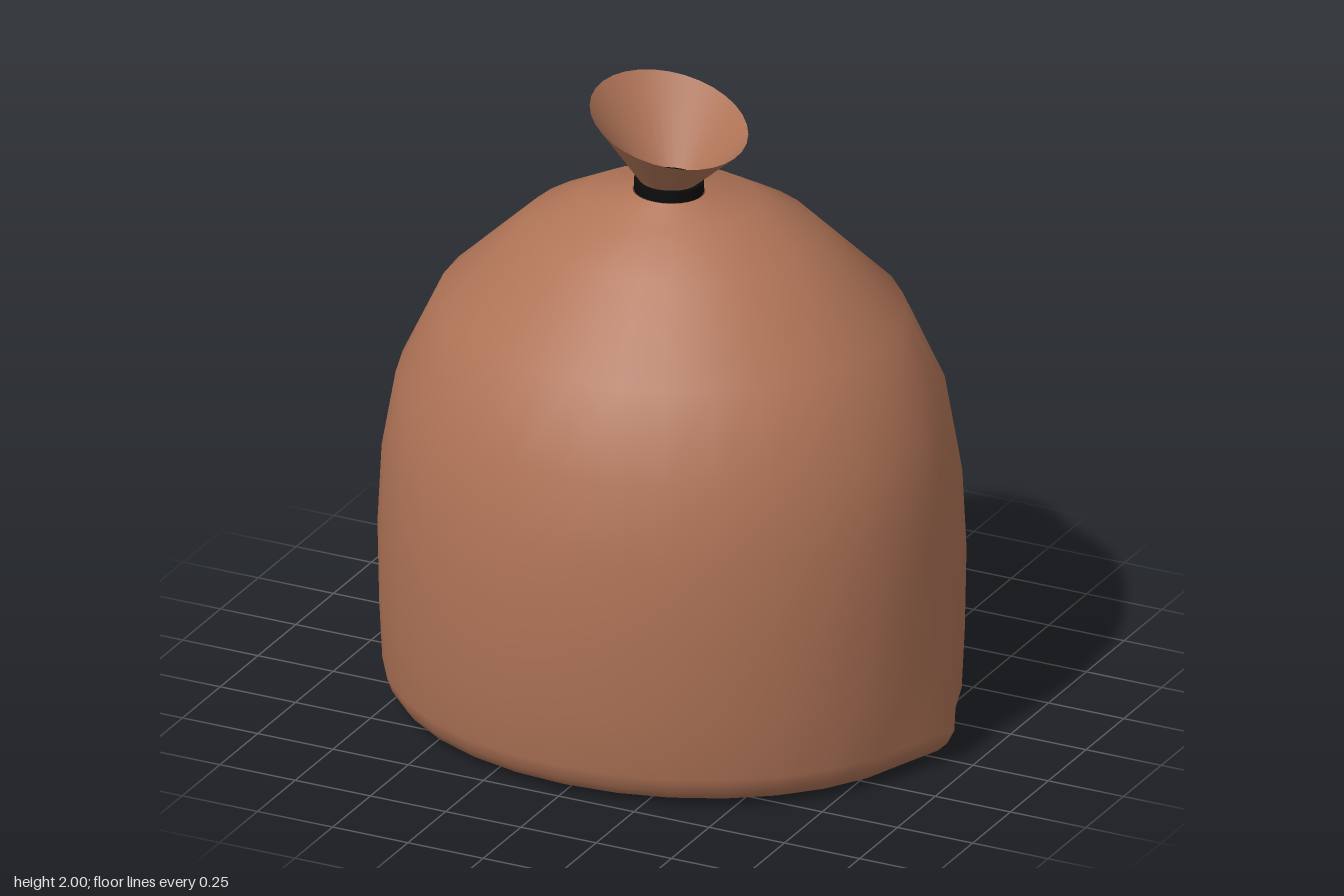
import * as THREE from 'three';

const SIDES = 32;

// Smooth skin over elliptical rings, listed from bottom to top.
// Ring: y height, rx / rz radii, cx / cz centre, tip = extra pull on the two side points,
// sx / sz = slope of the ring plane.
function loft(rings, capBottom = false, capTop = false) {
  const pos = [], index = [];
  for (const { y, rx, rz, cx = 0, cz = 0, tip = 0, sx = 0, sz = 0 } of rings) {
    for (let j = 0; j < SIDES; j++) {
      const a = (j / SIDES) * Math.PI * 2;
      const r = j % (SIDES / 2) === 0 ? rx + tip : rx;
      const dx = r * Math.cos(a), dz = rz * Math.sin(a);
      pos.push(cx + dx, y + sx * dx + sz * dz, cz + dz);
    }
  }
  for (let i = 0; i < rings.length - 1; i++) {
    for (let j = 0; j < SIDES; j++) {
      const a = i * SIDES + j, b = i * SIDES + ((j + 1) % SIDES);
      index.push(a, a + SIDES, b, b, a + SIDES, b + SIDES);
    }
  }
  const cap = (ring, start, up) => {
    const c = pos.length / 3;
    pos.push(ring.cx ?? 0, ring.y, ring.cz ?? 0);
    for (let j = 0; j < SIDES; j++) {
      const a = start + j, b = start + ((j + 1) % SIDES);
      if (up) index.push(c, b, a); else index.push(c, a, b);
    }
  };
  if (capBottom) cap(rings[0], 0, false);
  if (capTop) cap(rings[rings.length - 1], (rings.length - 1) * SIDES, true);
  const geo = new THREE.BufferGeometry();
  geo.setAttribute('position', new THREE.Float32BufferAttribute(pos, 3));
  geo.setIndex(index);
  geo.computeVertexNormals();
  return geo;
}

export function createModel() {
  const cloth = new THREE.MeshStandardMaterial({ color: 0xb07457, side: THREE.DoubleSide });
  cloth.name = 'brown cloth';
  const cord = new THREE.MeshStandardMaterial({ color: 0x0c0c0c });
  cord.name = 'black cord';

  const group = new THREE.Group();
  group.name = 'sack';
  const add = (name, geo, mat) => {
    const mesh = new THREE.Mesh(geo, mat);
    mesh.name = name;
    group.add(mesh);
    return mesh;
  };

  // Neck centre sits slightly forward and to the left
  const neck = { cx: 0.02, cz: 0.06 };

  // Body: plump sack with its lower side seams pinched out into corners
  const profile = [
    // y, rx, rz, tip
    [0, 0.74, 0.62, 0],
    [0.008, 0.8, 0.68, 0.01],
    [0.025, 0.85, 0.715, 0.035],
    [0.055, 0.87, 0.738, 0.045],
    [0.1, 0.885, 0.755, 0.053],
    [0.29, 0.89, 0.785, 0.015],
    [0.55, 0.893, 0.8, 0],
    [0.8, 0.88, 0.79, 0],
    [1.04, 0.838, 0.75, 0],
    [1.31, 0.71, 0.64, 0],
    [1.555, 0.45, 0.4, 0],
    [1.65, 0.27, 0.24, 0],
  ];
  const body = profile.map(([y, rx, rz, tip]) => ({ y, rx, rz, tip }));
  body.push({ y: 1.702, rx: 0.11, rz: 0.1, ...neck });
  add('body', loft(body, true, false), cloth);

  // Tie: dark band round the neck, closing the bottom of the mouth
  const band = add('tie', new THREE.CylinderGeometry(1, 1, 0.036, SIDES), cord);
  band.scale.set(0.106, 1, 0.095);
  band.position.set(neck.cx, 1.719, neck.cz);

  // Mouth: open flared collar with a tilted rim
  add('mouth', loft([
    { y: 1.733, rx: 0.088, rz: 0.08, ...neck },
    { y: 1.93, rx: 0.243, rz: 0.205, sx: -0.225, sz: -0.215, ...neck },
  ]), cloth);

  return group;
}
